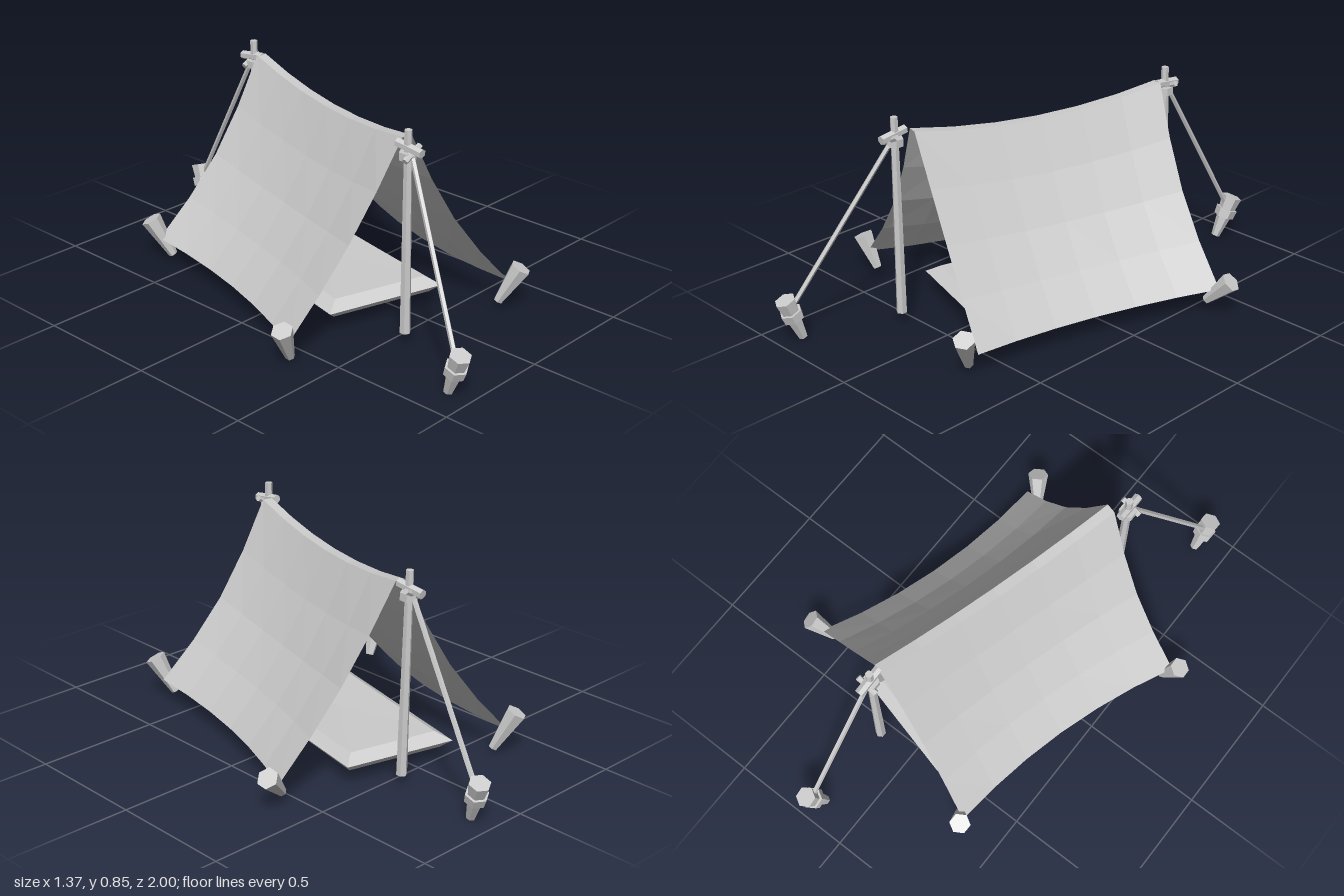
import * as THREE from 'three';

const grey = new THREE.MeshStandardMaterial({ color: 0xcccccc, flatShading: true });
const clothMat = new THREE.MeshStandardMaterial({ color: 0xcccccc, flatShading: true, side: THREE.DoubleSide });
const V = (x, y, z) => new THREE.Vector3(x, y, z);

// The tent stands turned about y: c runs across it, a runs along it to the back
const place = (c, y, a) => V(0.963 * c + 0.27 * a, y, 0.27 * c - 0.963 * a);

// Tapered faceted rod between two points
function rod(name, from, to, r0, r1, sides = 6) {
  const dir = to.clone().sub(from);
  const mesh = new THREE.Mesh(new THREE.CylinderGeometry(r1, r0, dir.length(), sides), grey);
  mesh.position.copy(from).add(to).multiplyScalar(0.5);
  mesh.quaternion.setFromUnitVectors(V(0, 1, 0), dir.normalize());
  mesh.name = name;
  return mesh;
}

function surface(name, points, index, material) {
  const geo = new THREE.BufferGeometry().setFromPoints(points);
  geo.setIndex(index);
  geo.computeVertexNormals();
  const mesh = new THREE.Mesh(geo, material);
  mesh.name = name;
  return mesh;
}

// Sagging sheet with a narrow flat ridge and hollow lower edges
function canvas() {
  const steps = 4, along = 6, points = [], index = [];
  const rows = [];
  for (let i = steps; i >= 0; i--) rows.push([-1, i / steps]);
  for (let i = 0; i <= steps; i++) rows.push([1, i / steps]);
  for (const [side, t] of rows) {
    for (let j = 0; j <= along; j++) {
      const v = (2 * j) / along - 1, mid = 1 - v * v, belly = Math.sin(Math.PI * t);
      const c = -0.012 + side * (0.02 + 0.47 * t - 0.055 * mid * t - 0.025 * belly);
      const y = 0.8 - 0.7 * t - 0.05 * mid * (1 - t) - 0.01 * mid * t - 0.03 * belly;
      const a = v * (0.533 - 0.008 * t - 0.015 * belly);
      points.push(place(c, y, a));
    }
  }
  const w = along + 1;
  for (let i = 0; i < rows.length - 1; i++) {
    for (let j = 0; j < along; j++) {
      const p = i * w + j;
      index.push(p, p + w, p + w + 1, p, p + w + 1, p + 1);
    }
  }
  return surface('canvas', points, index, clothMat);
}

// Cushion from stacked four-sided rings, closed by a centre point at each end
function groundMat() {
  const corners = [[0.25, -0.4], [-0.245, -0.39], [-0.28, 0.49], [0.18, 0.5]];
  const rings = [[0.86, 0.057], [1, 0.088], [0.8, 0.122]];
  const points = [], index = [];
  for (const [s, y] of rings)
    for (const [c, a] of corners) points.push(place(c * s, y, 0.05 + (a - 0.05) * (s + 1) / 2));
  points.push(place(-0.02, 0.066, 0.05), place(-0.02, 0.115, 0.05));
  for (let k = 0; k < 4; k++) {
    const n = (k + 1) % 4;
    for (let r = 0; r < 2; r++) {
      const b = r * 4;
      index.push(b + k, b + n, b + 4 + n, b + k, b + 4 + n, b + 4 + k);
    }
    index.push(12, n, k, 13, 8 + k, 8 + n);
  }
  return surface('groundMat', points, index, clothMat);
}

function stake(name, bottom, top) {
  return rod(name, bottom, top, 0.018, 0.042);
}

// Pole with its lashing and peg, plus the guy rope and its stake
function poleSet(name, foot, head, stakeBottom, stakeTop) {
  const g = new THREE.Group();
  g.name = name;
  const at = (h) => foot.clone().lerp(head, (h - foot.y) / (head.y - foot.y));
  const out = Math.sign(foot.z);
  g.add(rod('pole', foot, head, 0.021, 0.015));
  g.add(rod('lashing', at(0.738), at(0.768), 0.034, 0.034));
  const peg = at(0.785);
  g.add(rod('ridgePeg', peg.clone().add(V(0, -0.01, 0.065 * out)), peg.clone().add(V(0, 0.005, -0.05 * out)), 0.018, 0.018));
  g.add(rod('crossPeg', at(0.755).add(V(-0.04, -0.01, 0.02 * out)), at(0.775).add(V(0.04, 0.01, 0.02 * out)), 0.012, 0.012));
  const tie = stakeBottom.clone().lerp(stakeTop, 0.72);
  g.add(rod('guyRope', tie, at(0.755).add(V(0, 0, 0.02 * out)), 0.01, 0.01, 5));
  g.add(stake('guyStake', stakeBottom, stakeTop));
  g.add(rod('stakeBinding', stakeBottom.clone().lerp(stakeTop, 0.5), stakeBottom.clone().lerp(stakeTop, 0.7), 0.042, 0.045));
  return g;
}

export function createModel() {
  const model = new THREE.Group();
  model.name = 'tent';
  model.add(canvas(), groundMat());
  model.add(poleSet('frontPole', V(-0.2, 0.05, 0.555), V(-0.203, 0.85, 0.555), V(-0.37, 0.01, 0.9), V(-0.385, 0.18, 0.962)));
  model.add(poleSet('backPole', V(0.15, 0.05, -0.555), V(0.132, 0.85, -0.56), V(0.155, 0.01, -0.9), V(0.185, 0.18, -0.962)));

  // Corner stakes leaning outward
  model.add(
    stake('frontLeftStake', V(0.26, 0.035, 0.63), V(0.31, 0.18, 0.695)),
    stake('frontRightStake', V(-0.595, 0.03, 0.35), V(-0.655, 0.165, 0.37)),
    stake('backLeftStake', V(0.56, 0.05, -0.35), V(0.655, 0.15, -0.38)),
    stake('backRightStake', V(-0.3, 0.025, -0.61), V(-0.355, 0.18, -0.675)),
  );
  return model;
}
